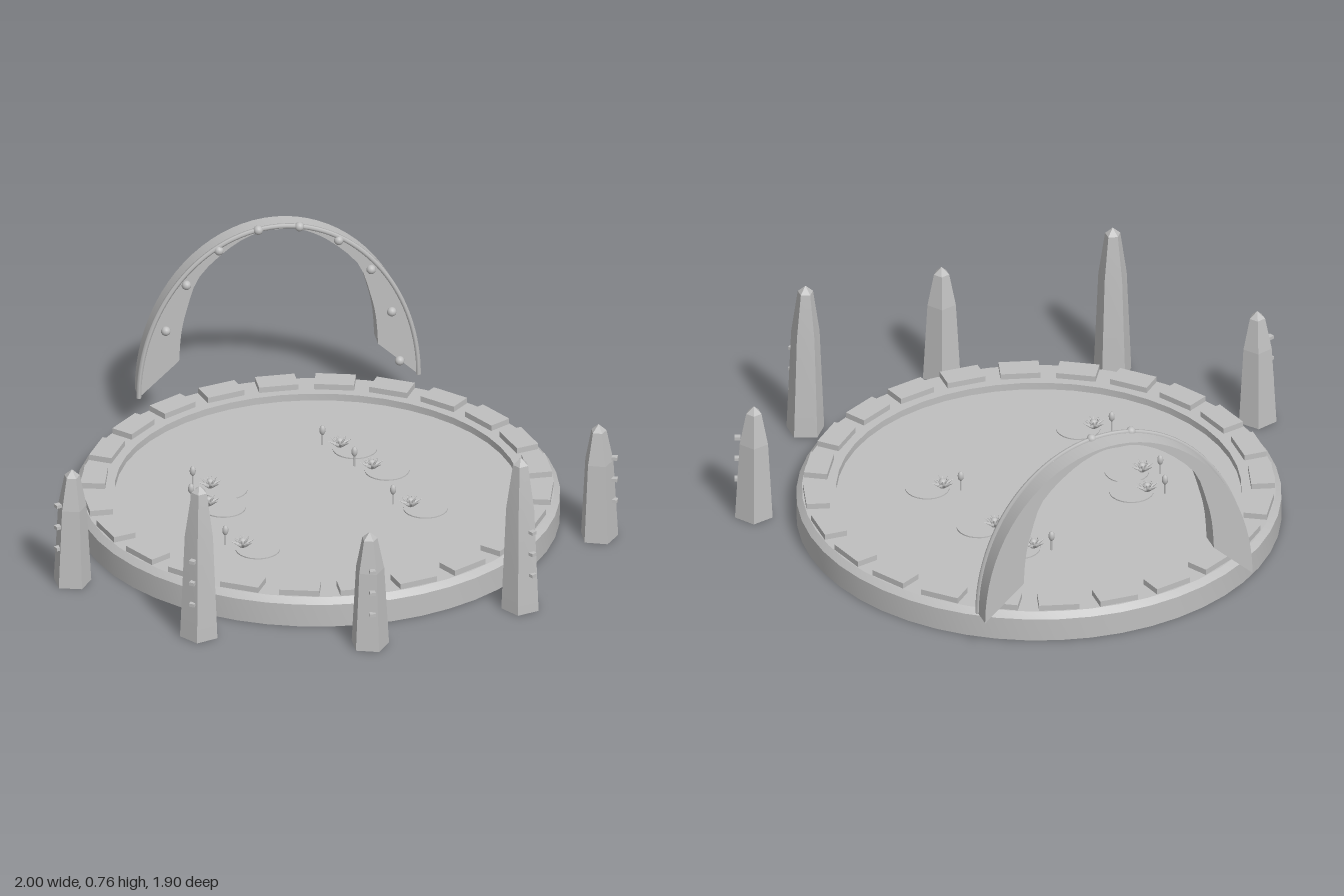
import * as THREE from 'three';
import { toCreasedNormals } from 'three/addons/utils/BufferGeometryUtils.js';

const POOL_Z = -0.11; // centre of the round pool

export function createModel() {
  const root = new THREE.Group();
  const stone = new THREE.MeshStandardMaterial({ color: 0xbfbfbf });
  stone.name = 'pale stone';

  function add(parent, name, geometry, x = 0, y = 0, z = 0) {
    const mesh = new THREE.Mesh(geometry, stone);
    mesh.name = name;
    mesh.position.set(x, y, z);
    parent.add(mesh);
    return mesh;
  }
  function group(parent, name, x, y, z) {
    const g = new THREE.Group();
    g.name = name;
    g.position.set(x, y, z);
    parent.add(g);
    return g;
  }

  // Pool: flat underside, chamfered rim, sunken water
  const pool = group(root, 'pool', 0, 0, POOL_Z);
  const profile = [[0, 0], [0.845, 0], [0.845, 0.085], [0.825, 0.106], [0.706, 0.106], [0.706, 0.075]]
    .map(([r, y]) => new THREE.Vector2(r, y));
  add(pool, 'basin', toCreasedNormals(new THREE.LatheGeometry(profile, 48), 0.5));
  const water = add(pool, 'water', new THREE.CircleGeometry(0.707, 48), 0, 0.08, 0);
  water.rotation.x = -Math.PI / 2;

  // Ring of paving stones on the rim
  const block = new THREE.BoxGeometry(0.14, 0.03, 0.082);
  for (let i = 0; i < 24; i++) {
    const a = (i / 24) * Math.PI * 2;
    const s = add(pool, 'rimStone', block, Math.sin(a) * 0.777, 0.112, Math.cos(a) * 0.777);
    s.rotation.y = a;
  }

  // Water lilies: pad, open flower and a bud on a stem
  const padGeo = new THREE.CylinderGeometry(0.078, 0.078, 0.005, 24);
  const petalGeo = new THREE.ConeGeometry(0.011, 0.045, 6).translate(0, 0.0225, 0);
  const heartGeo = new THREE.SphereGeometry(0.014, 10, 8);
  const budGeo = new THREE.SphereGeometry(0.011, 10, 8).scale(1, 1.7, 1);
  const stemGeo = new THREE.CylinderGeometry(0.003, 0.003, 0.05, 6);
  const lilies = [[0.14, -0.44], [0.22, -0.26], [0.3, 0.045], [-0.36, -0.22], [-0.39, -0.09], [-0.33, 0.24]];
  for (const [x, z] of lilies) {
    const lily = group(root, 'waterLily', x, 0, z);
    add(lily, 'lilyPad', padGeo, 0.05, 0.082, 0.02);
    add(lily, 'flowerHeart', heartGeo, 0, 0.104, 0);
    for (const [tilt, turn, size] of [[1.1, 0, 1], [0.6, Math.PI / 8, 0.8]]) {
      for (let i = 0; i < 8; i++) {
        const petal = add(lily, 'petal', petalGeo, 0, 0.089, 0);
        petal.rotation.set(tilt, turn + (i * Math.PI) / 4, 0, 'YXZ');
        petal.scale.setScalar(size);
      }
    }
    add(lily, 'budStem', stemGeo, -0.055, 0.105, -0.033);
    add(lily, 'bud', budGeo, -0.055, 0.137, -0.033);
  }

  // Crescent arch at the back, thick at the feet and thin at the crown
  const arch = group(root, 'arch', 0, 0, 0);
  const outer = [];
  for (let i = 0; i <= 40; i++) {
    const a = (i / 40) * Math.PI;
    outer.push(new THREE.Vector2(0.495 * Math.cos(a), 0.125 + 0.627 * Math.sin(a)));
  }
  const half = [[0.352, 0.257], [0.345, 0.36], [0.325, 0.455], [0.28, 0.58], [0.17, 0.685], [0.07, 0.735]];
  const innerPts = [...half.map(([x, y]) => [-x, y]), [0, 0.74], ...half.slice().reverse()]
    .map(([x, y]) => new THREE.Vector2(x, y));
  const inner = new THREE.SplineCurve(innerPts).getPoints(36);
  const crescent = new THREE.ExtrudeGeometry(new THREE.Shape([...outer, ...inner]),
    { depth: 0.075, bevelEnabled: false });
  add(arch, 'archBody', toCreasedNormals(crescent, 0.5), 0, 0, -0.925);
  const edge = new THREE.CatmullRomCurve3(outer.map((p) => new THREE.Vector3(p.x, p.y, -0.85)));
  add(arch, 'archTrim', new THREE.TubeGeometry(edge, 64, 0.009, 6));

  // Beads on the front face of the arch
  const bead = new THREE.SphereGeometry(0.017, 12, 10);
  const beads = [[0.4, 0.38], [0.327, 0.553], [0.212, 0.678], [0.073, 0.745]];
  for (const [x, y] of beads) {
    for (const side of [-1, 1]) add(arch, 'archBead', bead, side * x, y, -0.847);
  }
  add(arch, 'archBead', bead, 0.428, 0.185, -0.847);

  // Five-sided obelisks around the front, notched on their outer side
  const notch = new THREE.BoxGeometry(0.02, 0.012, 0.02);
  for (let i = -2; i <= 2; i++) {
    const a = (i * 35 * Math.PI) / 180;
    const tall = Math.abs(i) === 1;
    const h = tall ? 0.585 : 0.44;
    const obelisk = group(root, 'obelisk', Math.sin(a) * 0.992, 0, POOL_Z + Math.cos(a) * 0.992);
    obelisk.rotation.y = a;
    const bend = h * 0.67;
    const shoulder = h - 0.026;
    const sections = [[0, 0], [0.069, 0], [0.052, bend], [0.028, shoulder], [0, h]]
      .map(([r, y]) => new THREE.Vector2(r, y));
    const body = new THREE.LatheGeometry(sections, 5, Math.PI / 2);
    add(obelisk, 'obeliskBody', toCreasedNormals(body, 0.1));
    for (const y of [0.145, 0.228, 0.312]) add(obelisk, 'notchMark', notch, 0, y, 0.057);
  }
  return root;
}
